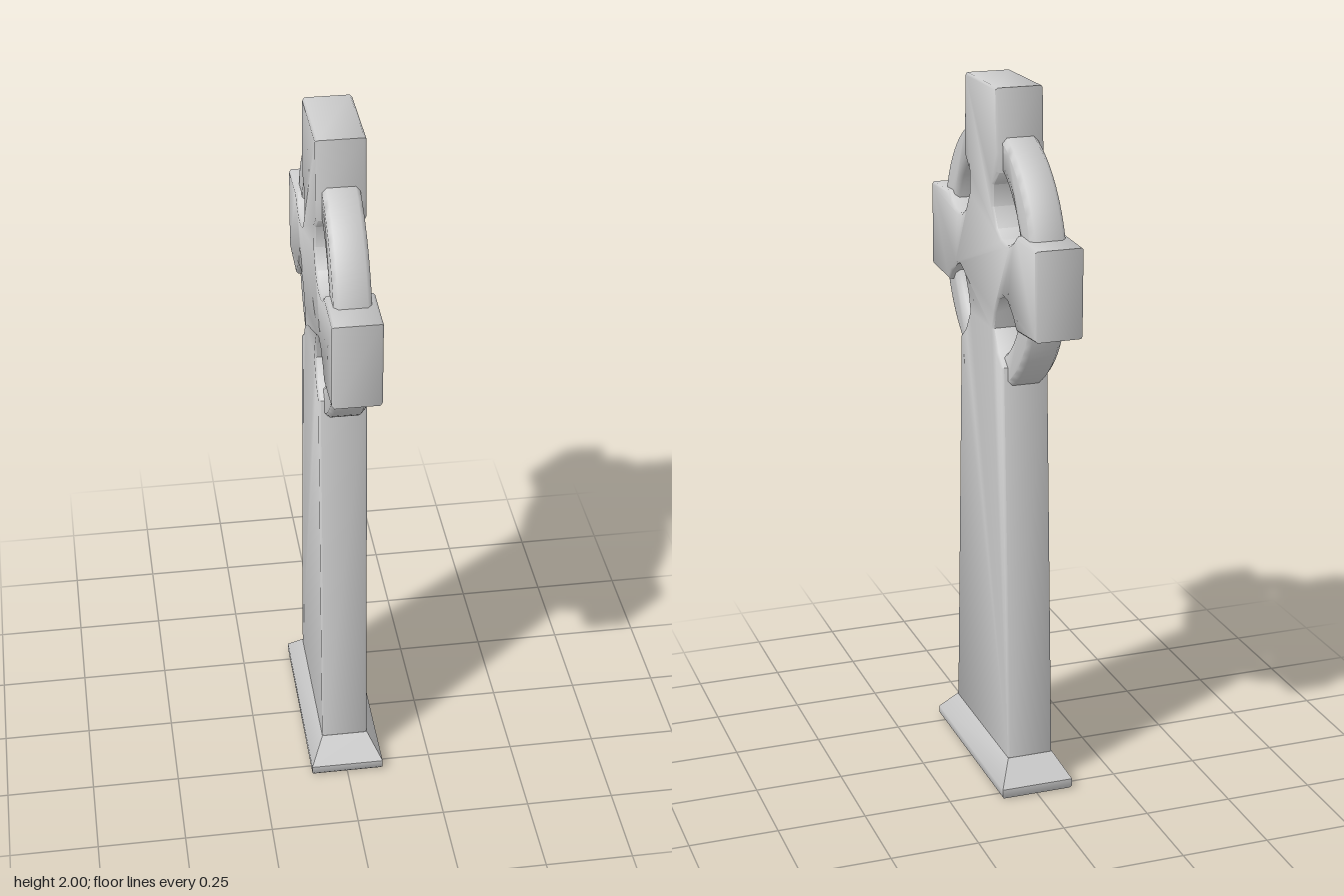
import * as THREE from 'three';
import { toCreasedNormals } from 'three/addons/utils/BufferGeometryUtils.js';

const material = new THREE.MeshStandardMaterial({ color: 0xcccccc });

function addMesh(group, name, geometry, crease) {
  const mesh = new THREE.Mesh(toCreasedNormals(geometry, crease), material);
  mesh.name = name;
  group.add(mesh);
}

// Bevelled slab lying in the z-y plane, centred on x = 0
function slab(shape, thickness, bevel, curveSegments = 12) {
  const depth = thickness - 2 * bevel;
  return new THREE.ExtrudeGeometry(shape, {
    depth, curveSegments, bevelEnabled: true, bevelSegments: 1,
    bevelSize: bevel, bevelThickness: bevel, bevelOffset: -bevel,
  }).translate(0, 0, -depth / 2).rotateY(Math.PI / 2);
}

export function createModel() {
  const group = new THREE.Group();
  group.name = 'ringedCross';

  // Shaft and cross arms: one half of the outline, from foot to top, then mirrored
  const half = [
    [0.228, 0.085], [0.175, 1.245], [0.132, 1.277], [0.095, 1.335],
    [0.111, 1.383], [0.138, 1.428], [0.18, 1.447], [0.217, 1.441], [0.26, 1.41],
    [0.286, 1.378], [0.434, 1.388], [0.434, 1.632], [0.286, 1.638],
    [0.26, 1.616], [0.228, 1.6], [0.2, 1.595], [0.164, 1.6], [0.127, 1.622],
    [0.095, 1.675], [0.095, 1.735], [0.137, 1.775], [0.135, 1.83], [0.127, 2],
  ];
  const outline = [...half, ...half.map(([z, y]) => [-z, y]).reverse()];
  const crossShape = new THREE.Shape(outline.map(([z, y]) => new THREE.Vector2(z, y)));
  addMesh(group, 'crossBody', slab(crossShape, 0.133, 0.006), 0.85);

  // Ring behind the arms
  const ringShape = new THREE.Shape().absarc(0, 0, 0.372, 0, Math.PI * 2, false);
  ringShape.holes.push(new THREE.Path().absarc(0, 0, 0.283, 0, Math.PI * 2, true));
  addMesh(group, 'ring', slab(ringShape, 0.1, 0.012, 48).translate(0, 1.52, 0), 0.85);

  // Flared foot: a box whose levels are reshaped to [y, half width x, half width z]
  const levels = [[0, 0.1, 0.284], [0.008, 0.105, 0.29], [0.03, 0.105, 0.29], [0.095, 0.0665, 0.228]];
  const foot = new THREE.BoxGeometry(2, 3, 2, 1, 3, 1);
  const p = foot.attributes.position;
  for (let i = 0; i < p.count; i++) {
    const [y, hx, hz] = levels[Math.round(p.getY(i) + 1.5)];
    p.setXYZ(i, p.getX(i) * hx, y, p.getZ(i) * hz);
  }
  addMesh(group, 'foot', foot, 0.7);

  return group;
}
